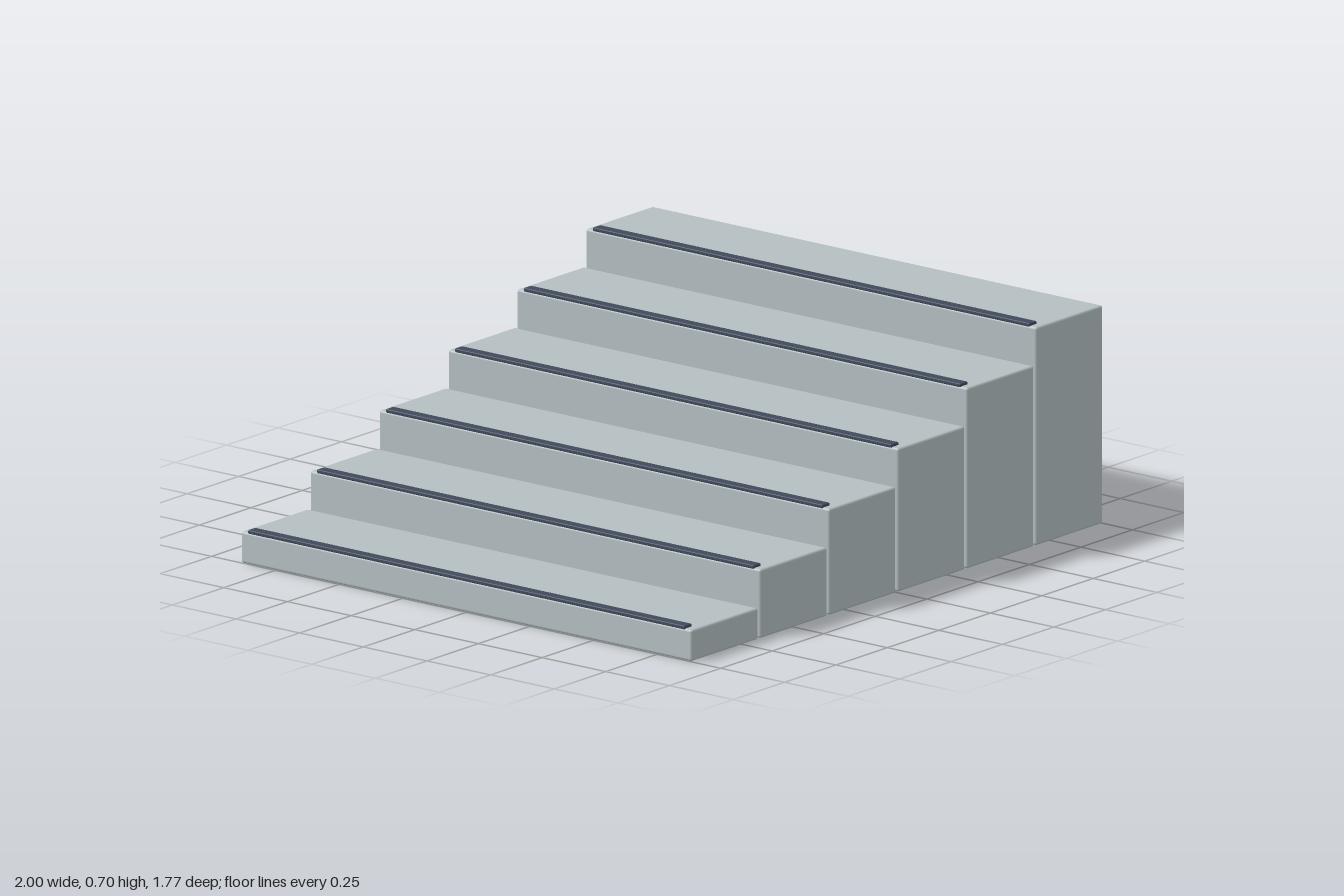
import * as THREE from 'three';
import { RoundedBoxGeometry } from 'three/addons/geometries/RoundedBoxGeometry.js';

const STEPS = 6, PITCH = 0.335, WIDTH = 0.325, DEPTH = 1.77;
const FIRST_HEIGHT = 0.1, RISE = 0.1185;

export function createModel() {
  const model = new THREE.Group();
  model.name = 'staircase';

  const stone = new THREE.MeshStandardMaterial({ color: 0xb4bfc1 });
  stone.name = 'pale grey stone';
  const grip = new THREE.MeshStandardMaterial({ color: 0x414a5b });
  grip.name = 'dark slate grip';

  // box with softly eased edges, placed by its left and bottom sides
  const block = (name, material, left, bottom, w, h, d, radius) => {
    const mesh = new THREE.Mesh(new RoundedBoxGeometry(w, h, d, 2, radius), material);
    mesh.name = name;
    mesh.position.set(left + w / 2, bottom + h / 2, 0);
    return mesh;
  };

  for (let i = 0; i < STEPS; i++) {
    const left = -1 + i * PITCH;
    const height = FIRST_HEIGHT + i * RISE;
    const step = new THREE.Group();
    step.name = `step${i + 1}`;
    // solid block standing on the ground
    step.add(block('stepBlock', stone, left, 0, WIDTH, height, DEPTH, 0.008));
    // anti-slip strip along the leading edge
    step.add(block('nosingStrip', grip, left, height - 0.003, 0.036, 0.012, 1.715, 0.003));
    model.add(step);
  }
  return model;
}
